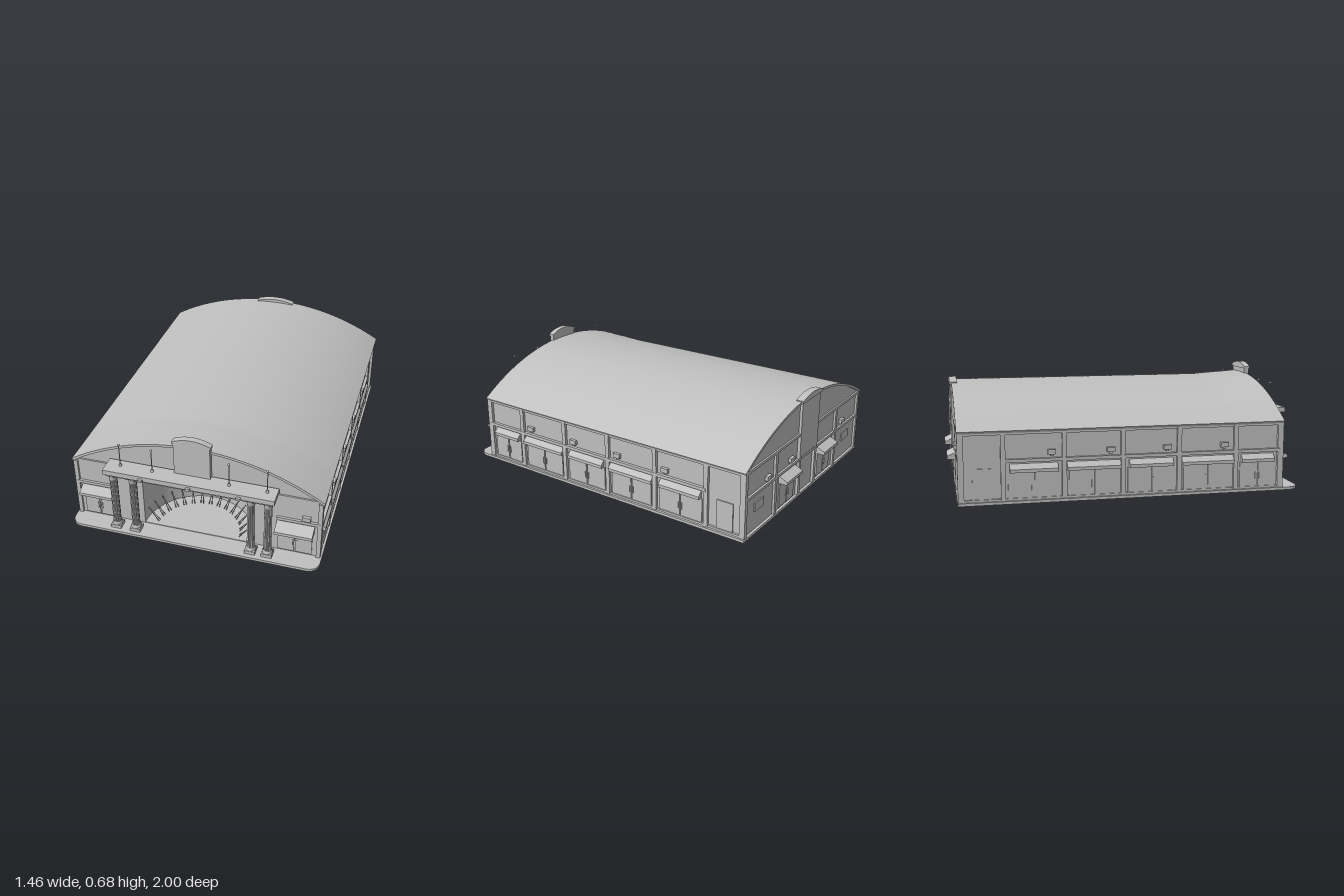
import * as THREE from 'three';
import { toCreasedNormals } from 'three/addons/utils/BufferGeometryUtils.js';

const grey = new THREE.MeshStandardMaterial({ color: 0xc0c0c0, side: THREE.DoubleSide });
grey.name = 'plain grey';

function add(parent, name, geo, x = 0, y = 0, z = 0) {
  const m = new THREE.Mesh(geo, grey);
  m.name = name;
  m.position.set(x, y, z);
  parent.add(m);
  return m;
}
const box = (parent, name, w, h, d, x, y, z) => add(parent, name, new THREE.BoxGeometry(w, h, d), x, y, z);
const extrude = (shape, depth, curveSegments = 12) =>
  new THREE.ExtrudeGeometry(shape, { depth, curveSegments, bevelEnabled: false });
const poly = pts => new THREE.Shape(pts.map(p => new THREE.Vector2(...p)));
const rectPath = (x0, y0, x1, y1) => poly([[x0, y0], [x0, y1], [x1, y1], [x1, y0]]);

// Vaulted roof: circular arc, half span 0.725, peak 0.6
const R = 1.414, CY = 0.6 - R, HALF = 0.538;
function roofSection(z0, z1, rise) {
  const s = new THREE.Shape();
  s.absarc(0, CY, R, Math.PI / 2 - HALF, Math.PI / 2 + HALF, false);
  s.absarc(0, CY, R - 0.014, Math.PI / 2 + HALF, Math.PI / 2 - HALF, true);
  const g = extrude(s, z1 - z0, 40);
  const p = g.attributes.position;
  for (let i = 0; i < p.count; i++) {
    const k = p.getZ(i) / (z1 - z0);
    p.setY(i, p.getY(i) + rise * k * (p.getY(i) - 0.385) / 0.215);
  }
  g.translate(0, 0, z0);
  return toCreasedNormals(g, 0.5);
}
function gable(rise) {
  const s = new THREE.Shape();
  s.absarc(0, CY, R - 0.007, Math.PI / 2 - HALF, Math.PI / 2 + HALF, false);
  const g = extrude(s, 0.006, 40);
  const p = g.attributes.position;
  for (let i = 0; i < p.count; i++) p.setY(i, p.getY(i) + rise * (p.getY(i) - 0.385) / 0.215);
  return g;
}

// Panel with a gently arched top
function archedPanel(w, y0, y1, y2, d) {
  const s = new THREE.Shape();
  s.moveTo(-w / 2, y0);
  s.lineTo(w / 2, y0);
  s.lineTo(w / 2, y1);
  s.quadraticCurveTo(0, 2 * y2 - y1, -w / 2, y1);
  return extrude(s, d, 16);
}

// A wall frame: local x runs along the wall, local z points outward
function wallFrame(parent, name, x, z, rot) {
  const g = new THREE.Group();
  g.name = name;
  g.position.set(x, 0, z);
  g.rotation.y = rot;
  parent.add(g);
  return g;
}
function awning(parent, x, w, y, out) {
  const g = extrude(poly([[0, y], [0, y + 0.045], [out, y + 0.018], [out, y]]), w);
  g.rotateY(-Math.PI / 2);
  add(parent, 'awning', g, x + w / 2);
}
function doors(parent, x, w, top) {
  for (const s of [-1, 1]) {
    box(parent, 'doorPanel', w / 2 - 0.008, top - 0.025, 0.007, x + s * w / 4, (top + 0.025) / 2, 0.003);
    box(parent, 'doorHandle', 0.004, 0.04, 0.006, x + s * 0.012, 0.09, 0.008);
  }
}
function lamp(parent, x) {
  box(parent, 'wallLamp', 0.045, 0.026, 0.018, x, 0.276, 0.012);
  box(parent, 'lampBracket', 0.018, 0.012, 0.01, x, 0.258, 0.006);
}

function column(parent, x, z) {
  const g = new THREE.Group();
  g.name = 'column';
  g.position.set(x, 0, z);
  parent.add(g);
  box(g, 'columnPlinth', 0.06, 0.022, 0.06, 0, 0.026, 0);
  add(g, 'columnFoot', new THREE.LatheGeometry(
    [[0.028, 0.036], [0.029, 0.045], [0.024, 0.056]].map(p => new THREE.Vector2(...p)), 20));
  // Fluted shaft: every other edge pulled inward
  const shaft = new THREE.CylinderGeometry(0.022, 0.023, 0.31, 24, 1, true);
  const p = shaft.attributes.position;
  for (let i = 0; i < p.count; i++) {
    const k = (i % 25) % 2 ? 0.83 : 1;
    p.setXYZ(i, p.getX(i) * k, p.getY(i), p.getZ(i) * k);
  }
  add(g, 'columnShaft', toCreasedNormals(shaft, 0.3), 0, 0.205, 0);
  add(g, 'columnCapital', new THREE.LatheGeometry(
    [[0.021, 0.352], [0.024, 0.36], [0.023, 0.37], [0.03, 0.388]].map(q => new THREE.Vector2(...q)), 16));
  box(g, 'columnAbacus', 0.06, 0.008, 0.06, 0, 0.391, 0);
}

export function createModel() {
  const model = new THREE.Group();
  model.name = 'arenaHall';

  // Base slab with rounded front corners, open under the hall
  const s = new THREE.Shape();
  const bx = 0.725, r = 0.075;
  s.moveTo(-bx, 0.96);
  s.lineTo(-bx, -0.985 + r);
  s.quadraticCurveTo(-bx, -0.985, -bx + r, -0.985);
  s.lineTo(bx - r, -0.985);
  s.quadraticCurveTo(bx, -0.985, bx, -0.985 + r);
  s.lineTo(bx, 0.96);
  s.holes.push(rectPath(-0.69, -0.85, 0.69, 0.925));
  const base = extrude(s, 0.016);
  base.rotateX(-Math.PI / 2);
  add(model, 'baseSlab', base);

  // Roof, gables and ceiling
  add(model, 'mainRoof', roofSection(-0.96, 0.61, 0));
  add(model, 'frontRoof', roofSection(0.61, 0.882, 0.018));
  add(model, 'frontGable', gable(0.018), 0, 0, 0.855);
  add(model, 'backGable', gable(0), 0, 0, -0.948);
  box(model, 'ceiling', 1.4, 0.006, 1.8, 0, 0.39, -0.04);

  // Front wall with the stage opening
  const fw = poly([[-0.715, 0.012], [0.715, 0.012], [0.715, 0.4], [-0.715, 0.4]]);
  fw.holes.push(rectPath(-0.31, 0.02, 0.32, 0.37));
  add(model, 'frontWall', extrude(fw, 0.01), 0, 0, 0.86);
  box(model, 'backWall', 1.41, 0.385, 0.01, 0, 0.205, -0.94);

  // Curved stage alcove
  add(model, 'alcoveWall', new THREE.CylinderGeometry(0.315, 0.315, 0.35, 40, 1, true, Math.PI / 2, Math.PI),
    0.005, 0.195, 0.865);
  for (const [n, y] of [['alcoveFloor', 0.02], ['alcoveCeiling', 0.37]]) {
    const half = new THREE.CircleGeometry(0.315, 40, 0, Math.PI);
    half.rotateX(-Math.PI / 2);
    add(model, n, half, 0.005, y, 0.865);
  }
  // Slanted struts around the alcove
  for (let i = 0; i < 15; i++) {
    const a = Math.PI * (i + 0.5) / 15;
    for (const d of [-0.035, 0.035]) {
      const top = new THREE.Vector3(0.005 + 0.305 * Math.cos(a), 0.1, 0.865 - 0.305 * Math.sin(a));
      const foot = new THREE.Vector3(0.005 + 0.24 * Math.cos(a + d), 0.025, 0.865 - 0.24 * Math.sin(a + d));
      add(model, 'strut', new THREE.TubeGeometry(new THREE.LineCurve3(top, foot), 1, 0.0025, 5));
    }
  }

  // Portico with columns, slab, spotlights and poles
  for (const x of [-0.455, -0.34, 0.335, 0.43]) column(model, x, 0.93);
  box(model, 'architrave', 0.92, 0.022, 0.085, -0.008, 0.406, 0.925);
  box(model, 'porticoSlab', 0.965, 0.03, 0.11, -0.008, 0.43, 0.93);
  for (const x of [-0.27, 0, 0.28]) box(model, 'spotlight', 0.024, 0.014, 0.018, x, 0.425, 0.991);
  for (const x of [-0.41, -0.225, 0.21, 0.42]) {
    add(model, 'pole', new THREE.CylinderGeometry(0.0025, 0.003, 0.14, 6), x, 0.512, 0.92);
    add(model, 'poleFoot', new THREE.CylinderGeometry(0.003, 0.01, 0.022, 8), x, 0.455, 0.92);
    add(model, 'poleBall', new THREE.SphereGeometry(0.007, 10, 8), x, 0.584, 0.92);
  }
  add(model, 'frontTower', archedPanel(0.205, 0.44, 0.65, 0.675, 0.028), -0.003, 0, 0.872);
  add(model, 'frontTowerCap', archedPanel(0.218, 0.642, 0.655, 0.68, 0.036), -0.003, 0, 0.868);

  // Front shop bays
  const front = wallFrame(model, 'frontBays', 0, 0.87, 0);
  for (const [x, w, out] of [[-0.58, 0.19, 0.055], [0.57, 0.2, 0.07]]) {
    doors(front, x, w, 0.18);
    awning(front, x, w + 0.01, 0.178, out);
    box(front, 'ledge', 0.25, 0.018, 0.014, Math.sign(x) * 0.59, 0.245, 0.007);
    box(front, 'cornerPilaster', 0.024, 0.38, 0.014, Math.sign(x) * 0.704, 0.2, 0.006);
  }
  lamp(front, 0.63);

  // Long side walls, mirrored
  const posts = [0.862, 0.598, 0.265, -0.056, -0.383, -0.716, -0.938];
  for (const side of [-1, 1]) {
    const g = wallFrame(model, side > 0 ? 'leftWall' : 'rightWall', side * 0.7, 0, side * Math.PI / 2);
    const along = z => -side * z;
    box(g, 'wall', 1.8, 0.385, 0.01, along(-0.04), 0.205, -0.005);
    box(g, 'topBand', 1.81, 0.016, 0.016, along(-0.04), 0.385, 0.006);
    box(g, 'footBand', 1.81, 0.012, 0.012, along(-0.04), 0.022, 0.006);
    posts.forEach((z, i) => {
      box(g, 'pilaster', 0.026, 0.375, 0.018, along(z), 0.202, 0.007);
      if (i > 4) return;
      const mid = (z + posts[i + 1]) / 2, w = Math.abs(z - posts[i + 1]);
      box(g, 'ledge', w, 0.018, 0.018, along(mid), 0.234, 0.009);
      doors(g, along(mid), w - 0.045, 0.17);
      awning(g, along(mid), w - (i % 2 ? 0.03 : 0.07), 0.17, 0.028);
      if (i > 0) lamp(g, along(posts[i] - 0.07));
    });
    box(g, 'serviceDoor', 0.1, 0.17, 0.007, along(-0.83), 0.11, 0.003);
  }

  // Back wall bays and central pylon
  const back = wallFrame(model, 'backBays', 0, -0.945, Math.PI);
  box(back, 'ledge', 1.41, 0.016, 0.012, 0, 0.236, 0.006);
  box(back, 'topBand', 1.42, 0.016, 0.014, 0, 0.39, 0.006);
  for (const x of [-0.704, -0.38, 0.38, 0.704]) box(back, 'pilaster', 0.024, 0.375, 0.014, x, 0.202, 0.006);
  for (const x of [-0.235, 0.235]) {
    doors(back, x, 0.18, 0.18);
    awning(back, x, 0.185, 0.178, 0.055);
  }
  for (const x of [-0.47, -0.2, 0.47]) lamp(back, x);
  for (const x of [-0.55, 0.55]) box(back, 'wallHatch', 0.1, 0.05, 0.006, x, 0.15, 0.003);
  add(back, 'pylon', archedPanel(0.225, 0.25, 0.595, 0.615, 0.03), 0, 0, -0.012);
  add(back, 'pylonCap', archedPanel(0.25, 0.585, 0.6, 0.62, 0.044), 0, 0, -0.018);
  for (const x of [-0.1, 0.1]) box(back, 'pylonPost', 0.025, 0.24, 0.016, x, 0.135, 0.008);
  return model;
}
